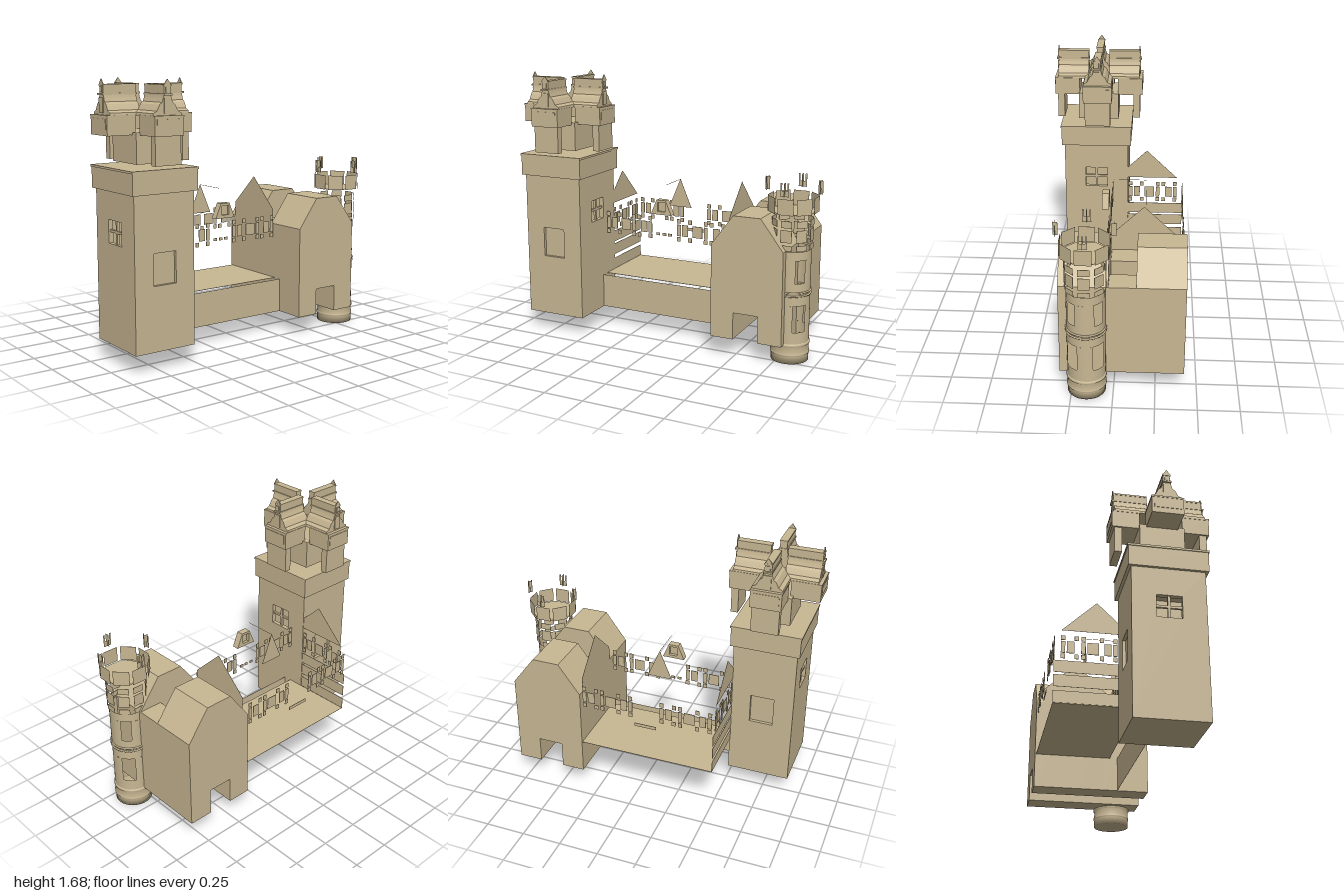
import * as THREE from 'three';

const stone = new THREE.MeshStandardMaterial({ color: 0xc8b793, flatShading: true, side: THREE.DoubleSide });
const roundStone = new THREE.MeshStandardMaterial({ color: 0xc8b793, side: THREE.DoubleSide });

function add(parent, name, geometry, material = stone) {
  const mesh = new THREE.Mesh(geometry, material);
  mesh.name = name;
  parent.add(mesh);
  return mesh;
}

// Box given by its limits on each axis
function box(parent, name, x0, x1, y0, y1, z0, z1) {
  const mesh = add(parent, name, new THREE.BoxGeometry(x1 - x0, y1 - y0, z1 - z0));
  mesh.position.set((x0 + x1) / 2, (y0 + y1) / 2, (z0 + z1) / 2);
  return mesh;
}

function polygon(points) {
  return new THREE.Shape(points.map(([x, y]) => new THREE.Vector2(x, y)));
}

// Symmetric outline from its right half, listed bottom to top
function mirrored(half) {
  return polygon([...half, ...half.map(([x, y]) => [-x, y]).reverse()]);
}

function extrude(shape, depth) {
  return new THREE.ExtrudeGeometry(shape, { depth, bevelEnabled: false });
}

function rect(x0, x1, y0, y1) {
  return [[x0, y0], [x1, y0], [x1, y1], [x0, y1]];
}

// Square tower: four walls, each with a recessed window, and a cap
function makeTower() {
  const g = new THREE.Group();
  g.name = 'squareTower';
  const t = 0.03, h = 0.92;
  for (let i = 0; i < 4; i++) {
    const side = i % 2 === 1;
    const halfWidth = side ? 0.2175 : 0.2, out = side ? 0.2 : 0.2175;
    const [y0, y1] = side ? [0.61, 0.75] : [0.39, 0.58];
    const shape = polygon(rect(-halfWidth, halfWidth, 0, h));
    shape.holes.push(polygon(rect(-0.075, 0.075, y0, y1)));
    const wall = new THREE.Group();
    wall.name = 'towerWall';
    wall.rotation.y = i * Math.PI / 2;
    add(wall, 'wallFace', extrude(shape, t)).position.z = out - t;
    if (side) {
      box(wall, 'mullion', -0.008, 0.008, y0, y1, out - 0.025, out - 0.01);
      box(wall, 'transom', -0.075, 0.075, y0 + 0.065, y0 + 0.08, out - 0.025, out - 0.01);
    } else {
      box(wall, 'blindWindow', -0.075, 0.075, y0, y1, out - t, out - 0.02);
    }
    g.add(wall);
  }
  box(g, 'towerBase', -0.2, 0.2, 0, 0.01, -0.2175, 0.2175);
  box(g, 'towerCap', -0.217, 0.217, 0.92, 1.05, -0.236, 0.236);
  box(g, 'capLip', -0.222, 0.222, 1.045, 1.058, -0.241, 0.241);
  g.position.set(-0.718, 0.12, 0.1825);
  return g;
}

// Cross of four bell-gabled arms over the square tower
function makeCrown() {
  const g = new THREE.Group();
  g.name = 'towerCrown';
  box(g, 'crownCore', -0.12, 0.12, 1.2, 1.38, -0.135, 0.135);
  const bell = mirrored([[0.095, 1.475], [0.092, 1.492], [0.068, 1.505], [0.058, 1.525],
    [0.05, 1.54], [0.034, 1.552], [0.027, 1.575], [0.022, 1.6], [0.022, 1.645]]);
  for (let i = 0; i < 4; i++) {
    const arm = new THREE.Group();
    arm.name = 'crownArm';
    arm.rotation.y = i * Math.PI / 2;
    // The arms along x start and end closer to the middle
    const shift = i % 2 ? 0.018 : 0;
    const e = 0.295 - shift * 0.8, start = 0.07 - shift;
    box(arm, 'armBody', -0.095, 0.095, 1.365, 1.475, 0.13 - shift * 1.7, e);
    box(arm, 'armCornice', -0.097, 0.097, 1.47, 1.48, 0.13 - shift * 1.7, e + 0.002);
    box(arm, 'panel', -0.08, 0.08, 1.4, 1.46, e, e + 0.003);
    add(arm, 'bellRoof', extrude(bell, e - 0.02 - start)).position.z = start;
    box(arm, 'roofTrim', -0.027, 0.027, 1.59, 1.6, start - 0.004, e - 0.008);
    box(arm, 'ridgeCap', -0.024, 0.024, 1.64, 1.65, start - 0.002, e - 0.016);
    box(arm, 'gableNiche', -0.022, 0.022, 1.49, 1.575, e - 0.021, e - 0.014);
    box(arm, 'finialNiche', -0.012, 0.012, 1.605, 1.635, e - 0.021, e - 0.014);
    add(arm, 'finialTip', extrude(polygon([[-0.026, 1.645], [0.026, 1.645], [0, 1.68]]), 0.006)).position.z = e - 0.023;
    if (i !== 3) box(arm, 'armPier', -0.085, 0.085, 1.2, 1.37, e - 0.06, e - 0.015);
    g.add(arm);
  }
  g.position.set(-0.72, 0, 0.17);
  return g;
}

// Row of window blocks along local x, standing in the plane z = 0
function windowRow(name) {
  const g = new THREE.Group();
  g.name = name;
  for (const u of [0, 0.08, 0.19, 0.23, 0.31])
    for (const y of [0.62, 0.738]) box(g, 'block', u, u + 0.025, y, y + 0.028, -0.002, 0.002);
  for (const [a, b] of [[0, 0.028], [0.038, 0.078], [0.11, 0.178], [0.19, 0.215], [0.255, 0.3], [0.31, 0.335]])
    box(g, 'pane', a, b, 0.655, 0.73, -0.002, 0.002);
  return g;
}

// Open hall between the tower and the gatehouse
function makeHall() {
  const g = new THREE.Group();
  g.name = 'hall';
  box(g, 'frontWall', -0.52, 0.36, 0.12, 0.34, 0.12, 0.121);
  box(g, 'floor', -0.52, 0.36, 0.338, 0.34, -0.415, 0.07);
  for (const z of [0.067, -0.412])
    for (const x of [-0.512, 0.003]) {
      const row = windowRow('windowRow');
      row.position.set(x, 0, z);
      g.add(row);
    }
  for (const x of [-0.145, -0.1, -0.06]) box(g, 'sillBlock', x, x + 0.025, 0.645, 0.662, 0.065, 0.069);
  box(g, 'backLintel', -0.155, -0.01, 0.56, 0.582, -0.415, -0.412);
  const endRow = windowRow('endWindowRow');
  endRow.rotation.y = Math.PI / 2;
  endRow.position.set(-0.522, 0, -0.04);
  g.add(endRow);
  for (const y of [0.34, 0.44, 0.53]) box(g, 'endWallBand', -0.523, -0.521, y, y + 0.075, -0.415, -0.035);
  // End gables; the one at the gatehouse stands on a strip of wall
  const gables = [
    [-0.523, [[-0.21, 0.8], [0.21, 0.8], [0, 1]]],
    [0.355, [[-0.21, 0.7], [0.21, 0.7], [0.21, 0.8], [0, 1], [-0.21, 0.8]]]];
  for (const [x, outline] of gables) {
    const end = add(g, 'endGable', extrude(polygon(outline), 0.001));
    end.rotation.y = Math.PI / 2;
    end.position.set(x, 0, -0.165);
  }
  // Cross gable and dormer
  add(g, 'crossGable', extrude(polygon([[-0.165, 0.79], [-0.005, 0.79], [-0.085, 0.98]]), 0.001)).position.z = -0.17;
  box(g, 'ridgePole', -0.086, -0.084, 0.976, 0.978, -0.17, 0.04);
  const dormer = polygon([[-0.16, 0.795], [-0.015, 0.795], [-0.055, 0.89], [-0.12, 0.89]]);
  dormer.holes.push(polygon(rect(-0.113, -0.06, 0.815, 0.875)));
  add(g, 'dormer', extrude(dormer, 0.045)).position.z = 0.07;
  box(g, 'dormerWindow', -0.113, -0.06, 0.815, 0.875, 0.09, 0.1);
  return g;
}

// Gatehouse with a passage through it and two flat-topped roofs
function makeGatehouse() {
  const g = new THREE.Group();
  g.name = 'gatehouse';
  const front = polygon([[0.355, 0.12], [0.503, 0.12], [0.503, 0.29], [0.662, 0.29], [0.662, 0.12], [0.814, 0.12],
    [0.814, 0.705], [0.67, 0.895], [0.495, 0.895], [0.355, 0.705]]);
  for (const [z, depth] of [[0.03, 0.293], [-0.422, 0.29]])
    add(g, 'gabledBlock', extrude(front, depth)).position.z = z;
  for (const [a, b] of [[0.355, 0.503], [0.662, 0.814]]) box(g, 'middleBlock', a, b, 0.12, 0.705, -0.132, 0.03);
  return g;
}

// Round stair turret with open windows and an octagonal lantern
function makeTurret() {
  const g = new THREE.Group();
  g.name = 'turret';
  const profile = [[0, 0], [0.115, 0], [0.115, 0.045], [0.12, 0.05], [0.12, 0.06], [0.115, 0.065], [0.115, 0.105],
    [0.121, 0.11], [0.121, 0.122], [0.113, 0.128]];
  add(g, 'drumBase', new THREE.LatheGeometry(profile.map(p => new THREE.Vector2(...p)), 48), roundStone);
  const shell = (y0, y1, start, length) => {
    const geo = new THREE.CylinderGeometry(0.115, 0.115, y1 - y0, 32, 1, true, start, length);
    add(g, 'turretWall', geo, roundStone).position.y = (y0 + y1) / 2;
  };
  for (const [a, b] of [[0.12, 0.2], [0.365, 0.505], [0.645, 0.7]]) shell(a, b, 0, Math.PI * 2);
  const q = Math.PI / 4;
  // Each storey has two windows of half-angle w, mirrored front to back
  for (const [a, b, w] of [[0.2, 0.365, 0.36], [0.505, 0.645, 0.27]]) {
    shell(a, b, q + w, 2 * q - 2 * w);
    shell(a, b, 3 * q + w, 6 * q - 2 * w);
  }
  for (const y of [0.427, 0.447]) {
    const ring = add(g, 'stringCourse', new THREE.TorusGeometry(0.117, 0.006, 8, 48), roundStone);
    ring.rotation.x = Math.PI / 2;
    ring.position.y = y;
  }
  // Octagonal lantern, parapet panels and posts
  for (let i = 0; i < 8; i++) {
    const face = new THREE.Group();
    face.name = 'lanternFace';
    face.rotation.y = i * q;
    for (const [a, b] of [[0.705, 0.738], [0.755, 0.83], [0.843, 0.885]])
      box(face, 'lanternPanel', -0.034, 0.034, a, b, 0.118, 0.12);
    box(face, 'parapetPanel', -0.049, 0.049, 0.925, 1.02, 0.143, 0.144);
    if (i % 2 === 0) {
      for (const s of [-1, 1]) box(face, 'merlonPost', s * 0.021 - 0.005, s * 0.021 + 0.005, 1.04, 1.12, 0.165, 0.166);
      box(face, 'merlonSill', -0.026, 0.026, 1.04, 1.075, 0.165, 0.166);
      box(face, 'merlonFin', -0.001, 0.001, 1.04, 1.12, 0.15, 0.178);
    }
    g.add(face);
  }
  const floor = add(g, 'parapetFloor', new THREE.CylinderGeometry(0.142, 0.142, 0.003, 8));
  floor.rotation.y = Math.PI / 8;
  floor.position.y = 0.927;
  g.position.set(0.814, 0, 0.16);
  return g;
}

export function createModel() {
  const model = new THREE.Group();
  model.name = 'castle';
  model.add(makeTower(), makeCrown(), makeHall(), makeGatehouse(), makeTurret());
  return model;
}
